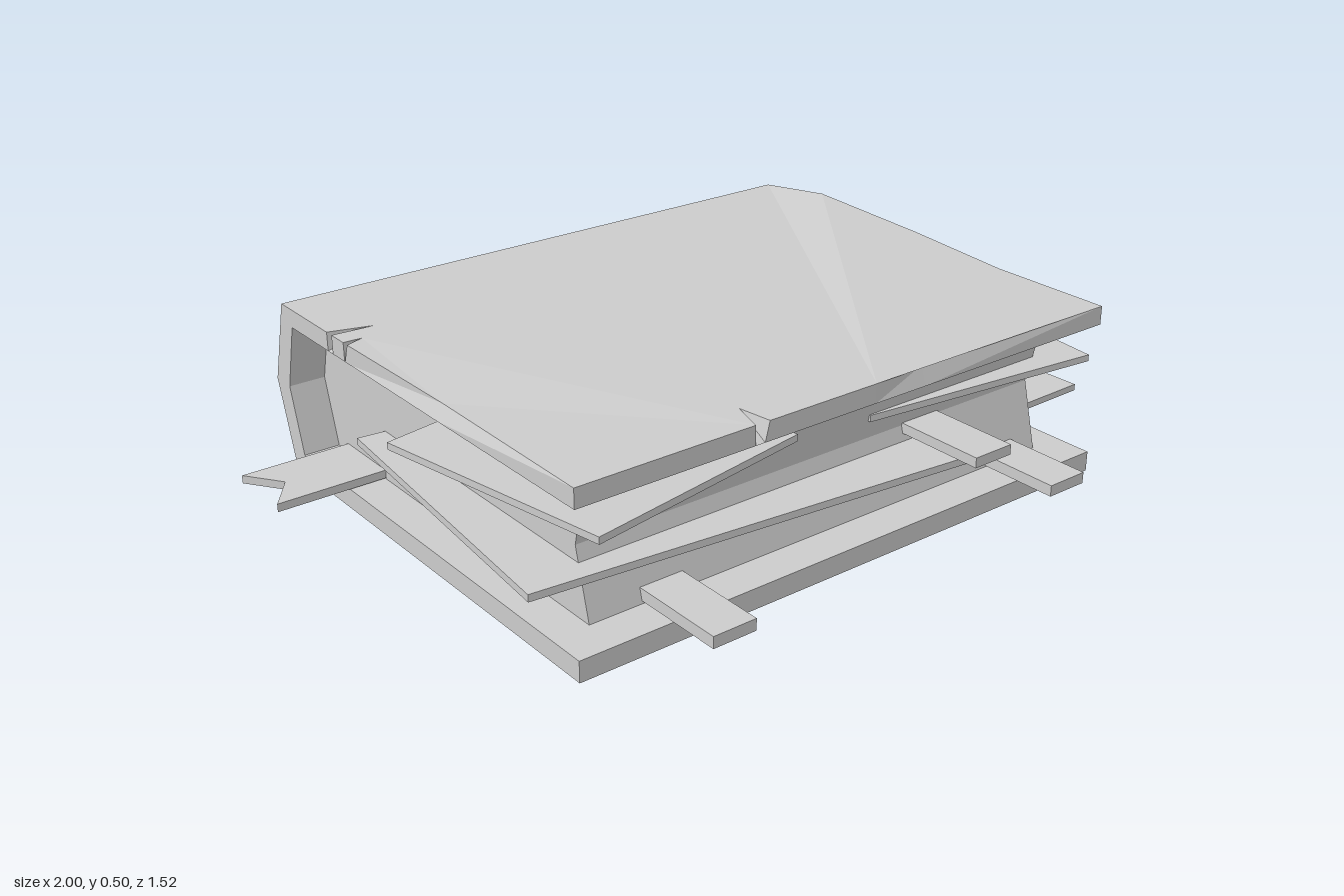
import * as THREE from 'three';

const material = () => new THREE.MeshStandardMaterial({ color: 0xcccccc, flatShading: true, side: THREE.DoubleSide });

function shapeOf(points) {
  return new THREE.Shape(points.map(([a, b]) => new THREE.Vector2(a, b)));
}

function mesh(name, geometry) {
  const m = new THREE.Mesh(geometry, material());
  m.name = name;
  return m;
}

// Side profile of [z, y] points, extruded from x0 to x1
function profile(name, points, x0, x1) {
  const g = new THREE.ExtrudeGeometry(shapeOf(points), { depth: x1 - x0, bevelEnabled: false });
  g.rotateY(-Math.PI / 2).translate(x1, 0, 0);
  return mesh(name, g);
}

// Flat outline of [x, z] points, lying between y0 and y1
function sheet(name, points, y0, y1) {
  const g = new THREE.ExtrudeGeometry(shapeOf(points), { depth: y1 - y0, bevelEnabled: false });
  g.rotateX(Math.PI / 2).translate(0, y1, 0);
  return mesh(name, g);
}

const LEFT = -0.8, RIGHT = 0.825, FRONT = 0.615, BACK = -0.69;

// Warped front board: upper rim with nicks and dents over a straight lower rim
function warpedCover() {
  const Y = 0.465, LOW = 0.415;
  // Half with the nicks, from the back hub round to the front hub
  const nicked = [
    [0, Y, BACK], [LEFT, Y, BACK],
    [LEFT, Y, -0.445], [-0.685, Y, -0.412], [LEFT, Y, -0.42],
    [LEFT, Y, -0.36], [-0.75, Y, -0.358], [LEFT, Y, -0.34],
    [-0.78, 0.452, 0.07], [LEFT, Y, FRONT],
    [-0.32, Y, FRONT], [-0.293, Y, 0.525], [-0.28, Y, FRONT],
    [0.04, Y, FRONT],
  ];
  // Half with the lifted edge, from the front hub round to the back hub
  const lifted = [
    [0.04, Y, FRONT], [0.2, Y, 0.6], [RIGHT, Y, FRONT], [0.805, 0.475, 0.28],
    [0.822, 0.485, -0.05], [0.83, 0.495, -0.45], [RIGHT, Y, BACK], [0, Y, BACK],
  ];
  const pos = [];
  const tri = (a, b, c) => pos.push(...a, ...b, ...c);

  // Upper surface
  const flat = nicked.map(([x, , z]) => new THREE.Vector2(x, -z));
  THREE.ShapeUtils.triangulateShape(flat, []).forEach(([a, b, c]) => tri(nicked[a], nicked[b], nicked[c]));
  for (let i = 1; i < lifted.length - 1; i++) tri(lifted[0], lifted[i], lifted[i + 1]);

  // Edge walls drop from the worn rim to the straight one
  const lower = ([x, , z]) => [
    x < -0.6 ? LEFT : x > 0.6 ? RIGHT : x,
    LOW,
    z > 0.5 ? FRONT : z === BACK ? -0.64 : z,
  ];
  const rim = [...nicked.slice(0, -1), ...lifted.slice(0, -1)];
  rim.forEach((t, i) => {
    const u = rim[(i + 1) % rim.length], b = lower(t), c = lower(u);
    tri(b, c, u);
    tri(b, u, t);
  });

  // Underside
  const p = [[LEFT, LOW, FRONT], [LEFT, LOW, -0.64], [RIGHT, LOW, -0.64], [RIGHT, LOW, FRONT]];
  tri(p[0], p[1], p[2]);
  tri(p[0], p[2], p[3]);

  const g = new THREE.BufferGeometry();
  g.setAttribute('position', new THREE.Float32BufferAttribute(pos, 3));
  g.computeVertexNormals();
  return mesh('topCover', g);
}

export function createModel() {
  const book = new THREE.Group();
  book.name = 'book';

  // Bottom board with the pointed spine
  book.add(profile('bottomCoverAndSpine', [
    [FRONT, 0], [BACK, 0], [-0.76, 0.235], [BACK, 0.465],
    [-0.64, 0.415], [-0.69, 0.235], [-0.64, 0.055], [FRONT, 0.055],
  ], LEFT, RIGHT));
  book.add(warpedCover());

  // Page block with a concave fore edge
  book.add(profile('pageBlock', [
    [0.51, 0.055], [0.465, 0.235], [0.51, 0.414],
    [-0.64, 0.414], [-0.69, 0.235], [-0.64, 0.055],
  ], -0.7, 0.73));

  // Loose sheets slipped between the pages
  book.add(sheet('upperLeftSheet', [[-0.885, -0.01], [-0.765, 0.65], [-0.125, 0.534], [-0.245, -0.126]], 0.338, 0.356));
  book.add(sheet('lowerLeftSheet', [[-0.86, 0.52], [0.405, 0.64], [0.49, -0.26], [-0.775, -0.38]], 0.176, 0.195));
  book.add(sheet('upperRightSheet', [[0.98, -0.57], [0.855, 0.565], [0.15, 0.487], [0.275, -0.648]], 0.289, 0.307));
  book.add(sheet('lowerRightSheet', [[0.985, -0.08], [0.998, 0.415], [0.5, 0.425], [0.487, -0.07]], 0.114, 0.132));

  // Ribbon with a notched end
  book.add(sheet('ribbonBookmark', [[-1, -0.585], [-0.93, -0.485], [-1, -0.387], [-0.5, -0.387], [-0.5, -0.585]], 0.058, 0.08));

  // Index tabs along the fore edge: x0, x1, y0, y1, front z
  [
    [-0.555, -0.435, 0.062, 0.093, 0.762],
    [0.28, 0.4, 0.215, 0.242, 0.717],
    [0.53, 0.65, 0.07, 0.1, 0.745],
  ].forEach(([x0, x1, y0, y1, z]) =>
    book.add(sheet('indexTab', [[x0, 0.4], [x1, 0.4], [x1, z], [x0, z]], y0, y1)));

  return book;
}
